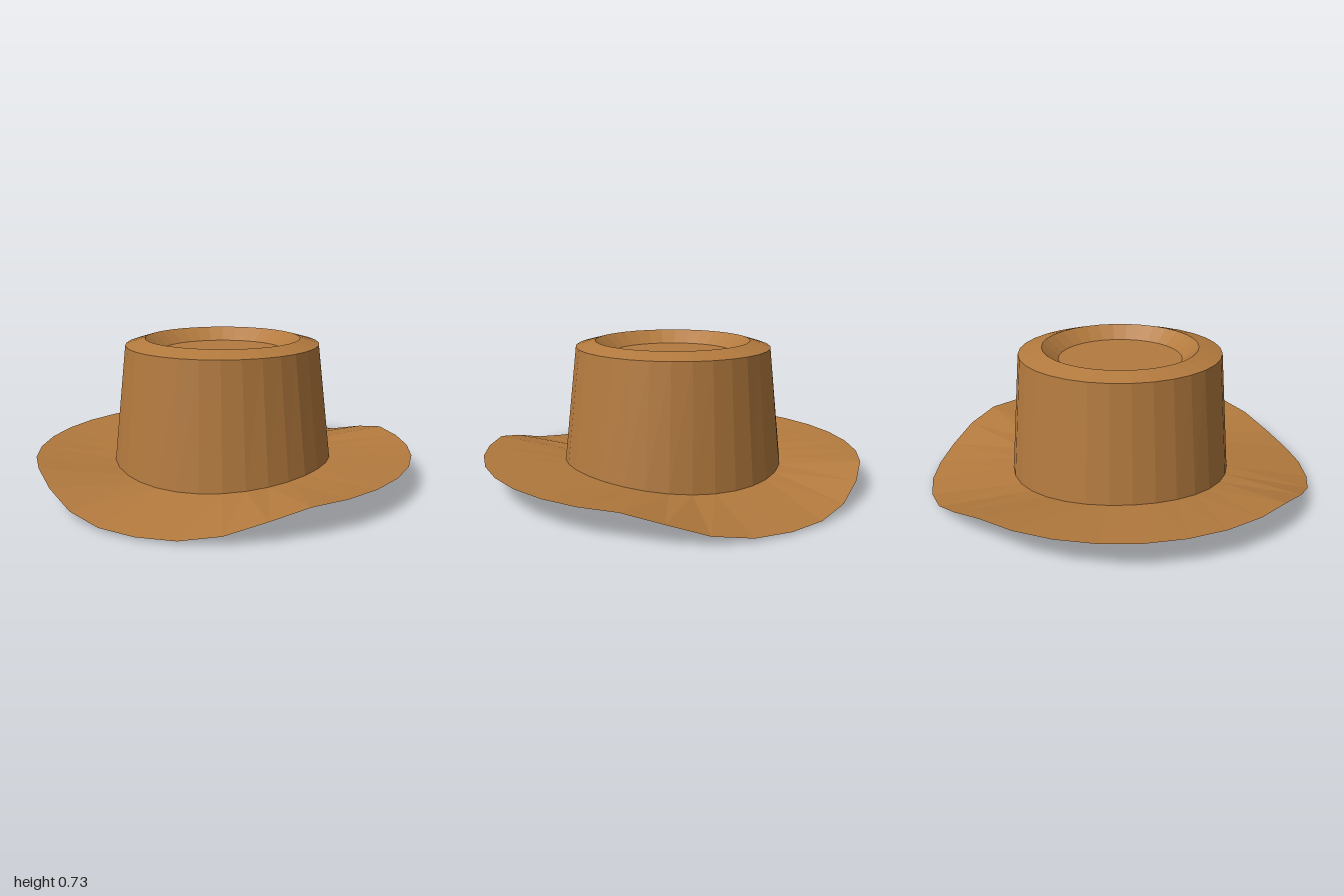
import * as THREE from 'three';

const SEGMENTS = 32;

// Joins rings of points: each ring is a function of the angle from the front.
function loft(name, rings, material) {
  const positions = [];
  const index = [];
  for (const ring of rings) {
    for (let i = 0; i < SEGMENTS; i++) {
      positions.push(...ring((i / SEGMENTS) * Math.PI * 2));
    }
  }
  for (let j = 0; j < rings.length - 1; j++) {
    for (let i = 0; i < SEGMENTS; i++) {
      const a = j * SEGMENTS + i;
      const b = j * SEGMENTS + ((i + 1) % SEGMENTS);
      const c = b + SEGMENTS;
      const d = a + SEGMENTS;
      if (rings[j].radius !== 0) index.push(a, b, c);
      if (rings[j + 1].radius !== 0) index.push(a, c, d);
    }
  }
  const geometry = new THREE.BufferGeometry();
  geometry.setAttribute('position', new THREE.Float32BufferAttribute(positions, 3));
  geometry.setIndex(index);
  geometry.computeVertexNormals();
  const mesh = new THREE.Mesh(geometry, material);
  mesh.name = name;
  return mesh;
}

// An oval ring; y may be a number or a function of the angle.
function oval(rx, rz, y, cx = -0.013) {
  const ring = (t) => [
    cx + rx * Math.sin(t),
    typeof y === 'function' ? y(t) : y,
    rz * Math.cos(t),
  ];
  ring.radius = rx;
  return ring;
}

// Brim edge: low at front and back, curled up level along both sides.
const EDGE_HEIGHTS = [0.012, 0.017, 0.045, 0.1, 0.142];
function edgeHeight(t) {
  const fromAxis = Math.atan2(Math.abs(Math.sin(t)), Math.abs(Math.cos(t)));
  const step = Math.round(fromAxis / (Math.PI / 16));
  return EDGE_HEIGHTS[Math.min(step, 4)];
}

// Where the crown meets the brim, the curl is much weaker.
const seamHeight = (t) => 0.068 + 0.045 * Math.sin(t) ** 2;

export function createModel() {
  const hat = new THREE.Group();
  hat.name = 'hat';
  const felt = new THREE.MeshStandardMaterial({ color: 0xb37a3e, flatShading: true });

  const seam = oval(0.567, 0.57, seamHeight);
  const opening = oval(0.52, 0.52, 0);

  // Underside from the head opening to the edge, then the upper side to the crown
  hat.add(loft('brim', [opening, oval(0.97, 1, edgeHeight, 0), seam], felt));

  // Tapered wall, bevelled shoulder and sunken dish in the top
  hat.add(loft('crown', [
    seam,
    oval(0.496, 0.52, 0.695),
    oval(0.4, 0.4, 0.725),
    oval(0.317, 0.317, 0.66),
    oval(0, 0, 0.66),
  ], felt));

  // Hollow inside of the crown
  hat.add(loft('lining', [
    oval(0, 0, 0.45),
    oval(0.49, 0.49, 0.45),
    opening,
  ], felt));

  return hat;
}
